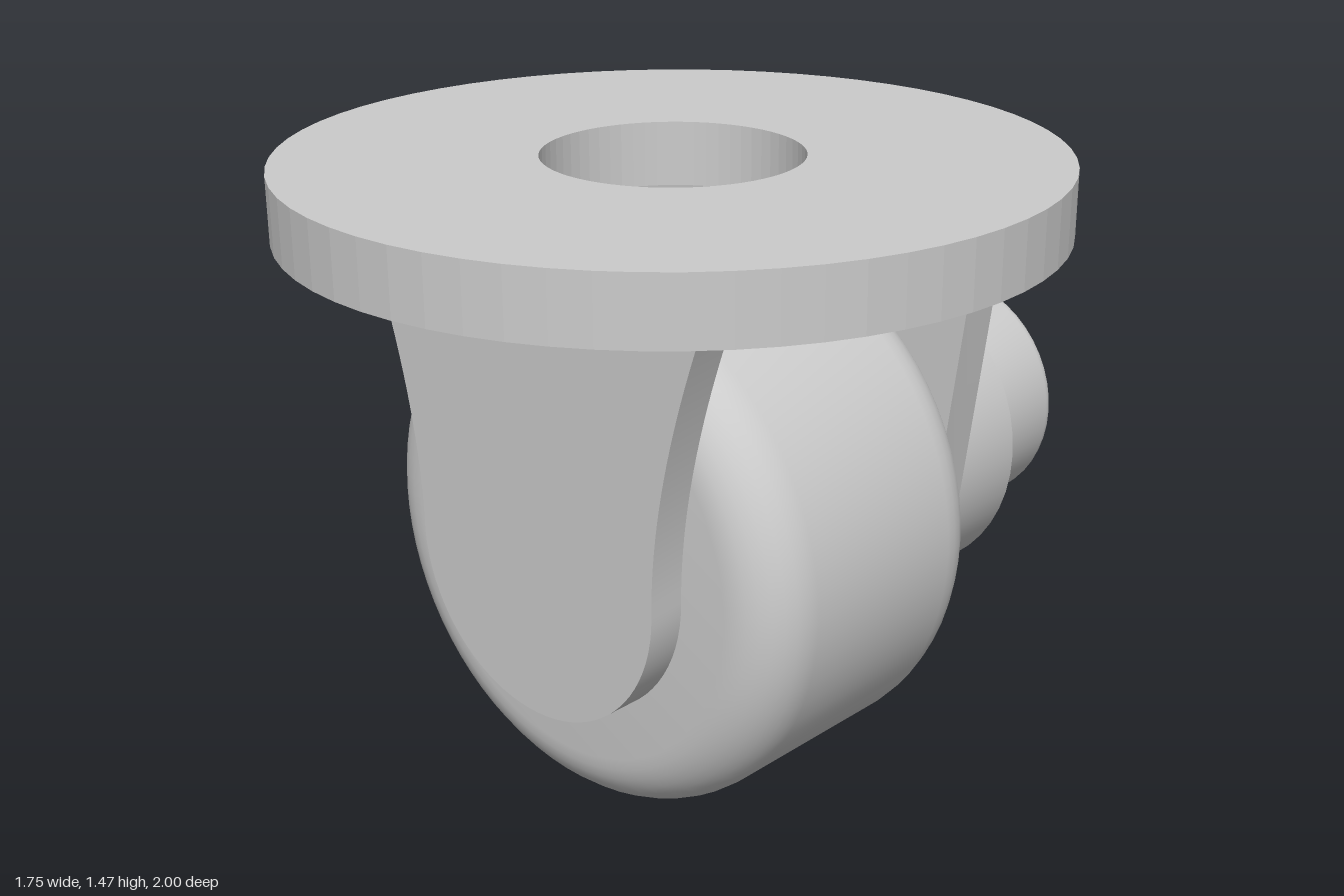
import * as THREE from 'three';
import { toCreasedNormals } from 'three/addons/utils/BufferGeometryUtils.js';

const AXLE_Y = 0.62, CENTRE_Z = 0.125, PLATE_BOTTOM = 1.315, PLATE_TOP = 1.465;
const material = new THREE.MeshStandardMaterial({ color: 0xcccccc });

function add(group, name, geometry, crease = 0.5) {
  const mesh = new THREE.Mesh(toCreasedNormals(geometry, crease), material);
  mesh.name = name;
  group.add(mesh);
  return mesh;
}

// Revolved solid; the profile lists [radius, height] from bottom to top.
function revolve(profile, segments = 64) {
  return new THREE.LatheGeometry(profile.map(([r, h]) => new THREE.Vector2(r, h)), segments);
}

// Quarter-round corner points between two angles.
function fillet(r, h, radius, from, to, steps = 8) {
  return Array.from({ length: steps + 1 }, (_, i) => {
    const a = from + (to - from) * i / steps;
    return [r + radius * Math.cos(a), h + radius * Math.sin(a)];
  });
}

// Tapered bracket outline: round foot, straight sides widening to the plate.
function bracketOutline(radius, topHalf) {
  const lean = Math.atan((topHalf - radius) / (PLATE_BOTTOM - AXLE_Y));
  const points = [[-topHalf, PLATE_BOTTOM]];
  const steps = 24;
  for (let i = 0; i <= steps; i++) {
    const a = Math.PI + lean + (Math.PI - 2 * lean) * i / steps;
    points.push([radius * Math.cos(a), AXLE_Y + radius * Math.sin(a)]);
  }
  points.push([topHalf, PLATE_BOTTOM]);
  return points;
}

// Solid through matching convex outlines, ordered from back to front.
function loft(sections) {
  const n = sections[0].points.length, positions = [], index = [];
  sections.forEach(s => s.points.forEach(([x, y]) => positions.push(x, y, s.z)));
  for (let s = 0; s < sections.length - 1; s++) {
    for (let i = 0; i < n; i++) {
      const a = s * n + i, b = s * n + (i + 1) % n;
      index.push(a, b, b + n, a, b + n, a + n);
    }
  }
  const last = (sections.length - 1) * n;
  for (let i = 1; i < n - 1; i++) {
    index.push(0, i + 1, i, last, last + i, last + i + 1);
  }
  const geometry = new THREE.BufferGeometry();
  geometry.setAttribute('position', new THREE.Float32BufferAttribute(positions, 3));
  geometry.setIndex(index);
  return geometry;
}

export function createModel() {
  const model = new THREE.Group();
  model.name = 'caster';

  // Round mounting plate with a central hole
  const plate = add(model, 'mountingPlate', revolve([
    [0.293, PLATE_BOTTOM], [0.875, PLATE_BOTTOM], [0.875, PLATE_TOP],
    [0.293, PLATE_TOP], [0.293, PLATE_BOTTOM],
  ]), 0.05);
  plate.position.z = CENTRE_Z;

  // Wheel with rounded shoulders
  const halfWidth = 0.365, round = 0.14;
  const wheel = add(model, 'wheel', revolve([
    [0, -halfWidth],
    ...fillet(AXLE_Y - round, -halfWidth + round, round, -Math.PI / 2, 0),
    ...fillet(AXLE_Y - round, halfWidth - round, round, 0, Math.PI / 2),
    [0, halfWidth],
  ], 72).rotateX(Math.PI / 2));
  wheel.position.set(0, AXLE_Y, CENTRE_Z);

  // Front fork plate: round foot, sides flaring in a curve
  const shape = new THREE.Shape();
  shape.moveTo(0.515, PLATE_BOTTOM);
  shape.quadraticCurveTo(-0.515, PLATE_BOTTOM, -0.515, PLATE_BOTTOM);
  shape.curves.pop();
  shape.lineTo(-0.515, PLATE_BOTTOM);
  shape.quadraticCurveTo(-0.36, 0.92, -0.36, 0.625);
  shape.absarc(0, 0.625, 0.36, Math.PI, 2 * Math.PI, false);
  shape.quadraticCurveTo(0.36, 0.92, 0.515, PLATE_BOTTOM);
  const front = add(model, 'frontFork', new THREE.ExtrudeGeometry(shape, {
    depth: 0.09, bevelEnabled: false, curveSegments: 20,
  }));
  front.position.z = 0.49;

  // Rear fork plate with a chamfered back edge
  add(model, 'rearFork', loft([
    { z: -0.41, points: bracketOutline(0.4, 0.495) },
    { z: -0.34, points: bracketOutline(0.467, 0.565) },
    { z: -0.24, points: bracketOutline(0.467, 0.565) },
  ]));

  // Chamfered hub housing behind the rear fork
  const hub = add(model, 'hubHousing', revolve([
    [0, -0.71], [0.355, -0.71], [0.4, -0.665], [0.4, -0.4], [0, -0.4],
  ], 48).rotateX(Math.PI / 2));
  hub.position.y = 0.625;

  // Motor end cap with a rounded rim
  const cap = add(model, 'endCap', revolve([
    [0, -1], ...fillet(0.26, -0.96, 0.04, -Math.PI / 2, 0, 6), [0.3, -0.7], [0, -0.7],
  ], 48).rotateX(Math.PI / 2));
  cap.position.y = 0.625;

  return model;
}
